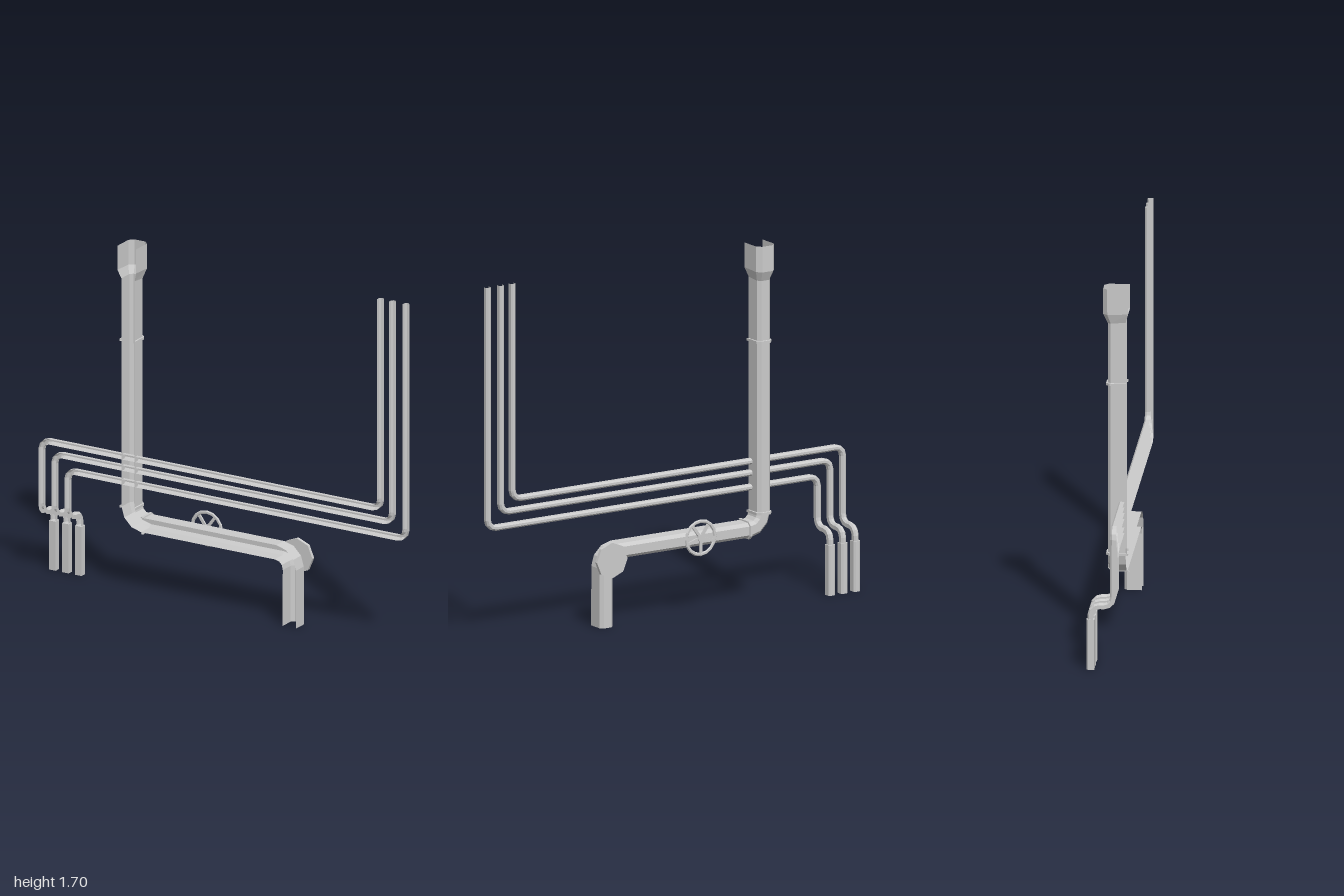
import * as THREE from 'three';

const grey = new THREE.MeshStandardMaterial({ color: 0xcccccc, flatShading: true, side: THREE.DoubleSide });
const V = (x, y, z) => new THREE.Vector3(x, y, z);

function add(parent, name, geometry, x = 0, y = 0, z = 0) {
  const mesh = new THREE.Mesh(geometry, grey);
  mesh.name = name;
  mesh.position.set(x, y, z);
  parent.add(mesh);
  return mesh;
}

// Replace each right-angle corner of a path with a short faceted arc
function roundCorners(points, r, steps = 3) {
  const out = [points[0]];
  for (let i = 1; i < points.length - 1; i++) {
    const d1 = points[i].clone().sub(points[i - 1]).normalize();
    const d2 = points[i + 1].clone().sub(points[i]).normalize();
    const centre = points[i].clone().addScaledVector(d1, -r).addScaledVector(d2, r);
    for (let k = 0; k <= steps; k++) {
      const t = (k / steps) * Math.PI / 2;
      out.push(centre.clone().addScaledVector(d2, -r * Math.cos(t)).addScaledVector(d1, r * Math.sin(t)));
    }
  }
  out.push(points[points.length - 1]);
  return out;
}

// Open channel section: [across, towards the open side]
function channel(w, d, c) {
  return [[-w, d], [-w, c - d], [c - w, -d], [w - c, -d], [w, c - d], [w, d]];
}

// Sweep an open section along a path; the open side starts facing +z
function sweep(path, section, scales = []) {
  const n = section.length, pos = [], index = [];
  const normal = V(0, 0, 1), q = new THREE.Quaternion();
  let last = null;
  path.forEach((p, i) => {
    const t = V(0, 0, 0);
    if (i > 0) t.add(p.clone().sub(path[i - 1]).normalize());
    if (i < path.length - 1) t.add(path[i + 1].clone().sub(p).normalize());
    t.normalize();
    if (last) normal.applyQuaternion(q.setFromUnitVectors(last, t));
    last = t;
    const side = t.clone().cross(normal), s = scales[i] ?? 1;
    for (const [a, b] of section) {
      const v = p.clone().addScaledVector(side, a * s).addScaledVector(normal, b * s);
      pos.push(v.x, v.y, v.z);
    }
    if (i === 0) return;
    for (let j = 0; j < n - 1; j++) {
      const a = (i - 1) * n + j, b = a + n;
      index.push(a, b, a + 1, a + 1, b, b + 1);
    }
  });
  const g = new THREE.BufferGeometry();
  g.setAttribute('position', new THREE.Float32BufferAttribute(pos, 3));
  g.setIndex(index);
  const flat = g.toNonIndexed();
  flat.computeVertexNormals();
  return flat;
}

export function createModel() {
  const model = new THREE.Group();
  model.name = 'wallPipes';

  // Large drain pipe, open against the wall side
  const zc = 0.024, big = channel(0.036, 0.042, 0.015);
  const mainPath = roundCorners([V(-0.51, 1.54, zc), V(-0.51, 0.353, zc), V(0.363, 0.353, zc), V(0.363, 0, zc)], 0.075);
  add(model, 'mainPipe', sweep(mainPath, big));
  add(model, 'flaredHead', sweep([V(-0.51, 1.7, zc - 0.004), V(-0.51, 1.58, zc - 0.004), V(-0.51, 1.535, zc)], big, [1.4, 1.4, 1]));

  // Raised collars around the main pipe
  const collars = [[V(-0.51, 1.24, zc), V(0, -1, 0)], [V(-0.51, 0.425, zc), V(0, -1, 0)], [V(-0.43, 0.353, zc), V(1, 0, 0)]];
  for (const [p, dir] of collars) {
    const path = [-0.007, -0.006, 0.006, 0.007].map(o => p.clone().addScaledVector(dir, o));
    add(model, 'collar', sweep(path, big, [1, 1.17, 1.17, 1]));
  }

  // Octagonal cover plate on the right elbow
  add(model, 'coverPlate', new THREE.CylinderGeometry(0.085, 0.085, 0.016, 8).rotateX(Math.PI / 2), 0.35, 0.322, -0.028);

  // Valve handwheel
  const wheel = new THREE.Group();
  wheel.name = 'valveWheel';
  wheel.position.set(-0.143, 0.362, -0.031);
  add(wheel, 'rim', new THREE.TorusGeometry(0.079, 0.009, 6, 16).scale(1, 1, 0.75));
  add(wheel, 'hub', new THREE.CylinderGeometry(0.018, 0.018, 0.014, 8).rotateX(Math.PI / 2));
  add(wheel, 'stem', new THREE.CylinderGeometry(0.01, 0.01, 0.03, 8).rotateX(Math.PI / 2), 0, 0, 0.012);
  for (let i = 0; i < 5; i++) {
    const spoke = add(wheel, 'spoke', new THREE.BoxGeometry(0.076, 0.014, 0.008).translate(0.038, 0, 0));
    spoke.rotation.z = -Math.PI / 2 + i * Math.PI * 2 / 5;
  }
  model.add(wheel);

  // Three thin pipes, each ending in a canister: [left x, run height, right x]
  const thin = channel(0.0135, 0.0135, 0.008), zt = 0.047, zb = -0.058;
  for (const [xl, y, xr] of [[-0.985, 0.665, 0.848], [-0.915, 0.61, 0.912], [-0.845, 0.542, 0.985]]) {
    const path = roundCorners([
      V(xr, 1.69, zt), V(xr, y, zt), V(xl, y, zt),
      V(xl, 0.305, zt), V(xl, 0.305, zb), V(xl, 0.235, zb)], 0.042);
    add(model, 'thinPipe', sweep(path, thin));

    const outline = new THREE.Shape(channel(0.0185, 0.0185, 0.008).map(([a, b]) => new THREE.Vector2(a, -b)));
    const body = new THREE.ExtrudeGeometry(outline, { depth: 0.24, bevelEnabled: false }).rotateX(-Math.PI / 2);
    add(model, 'canister', body, xl, 0, zb);
  }
  return model;
}
